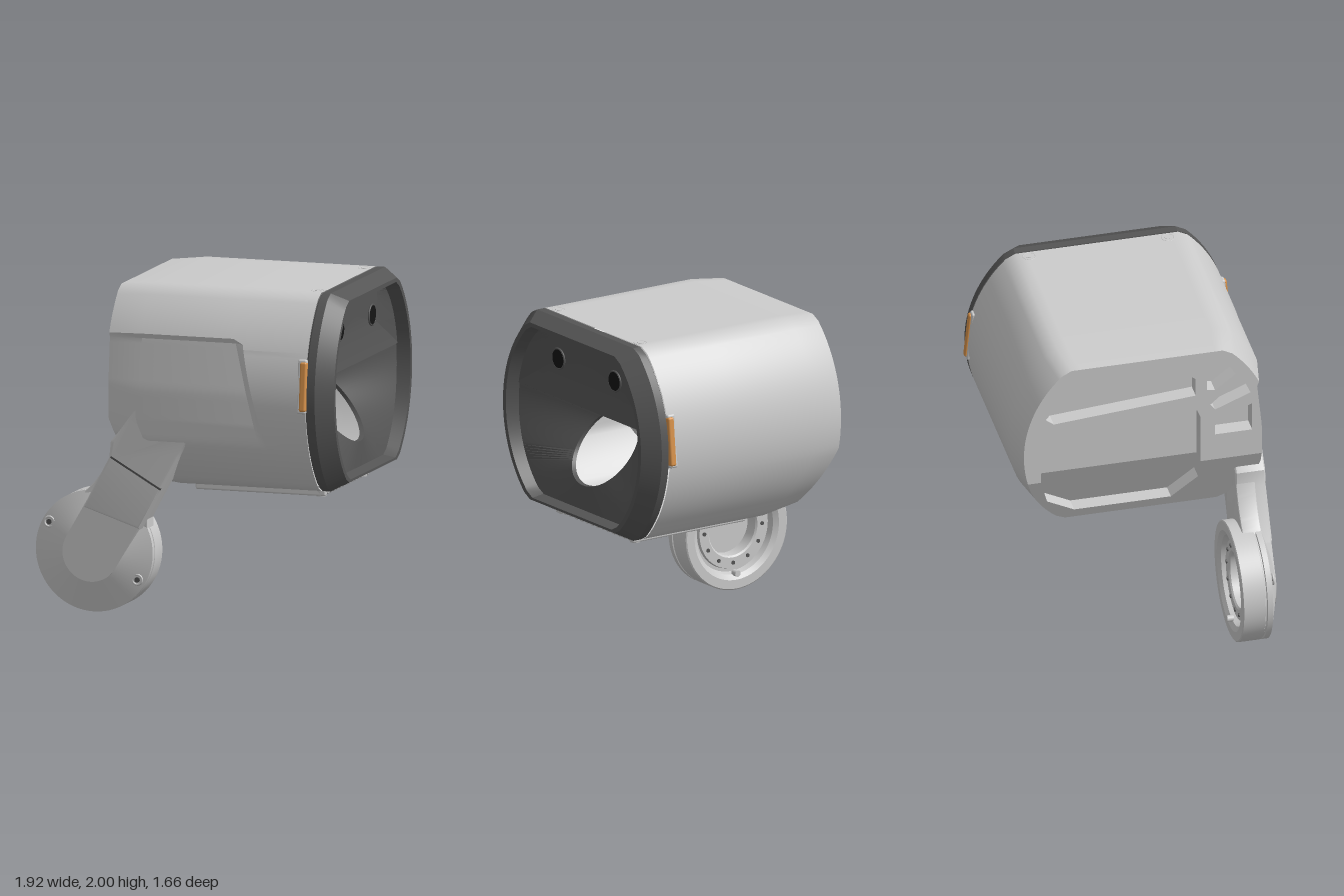
import * as THREE from 'three';
import { toCreasedNormals } from 'three/addons/utils/BufferGeometryUtils.js';
import { RoundedBoxGeometry } from 'three/addons/geometries/RoundedBoxGeometry.js';

const mat = (color) => new THREE.MeshStandardMaterial({ color, side: THREE.DoubleSide });
const grey = mat(0xcccccc), dark = mat(0x555555), black = mat(0x151515), orange = mat(0xd8924a);
const clamp = THREE.MathUtils.clamp;
const CY = 1.395, N = 40;

// Closed cross-section: a circle of radius R cut flat at lo and hi, as [u, y] with u = -z
function ring(R, lo, hi, cut = 0.03) {
  const a0 = Math.asin((lo + cut - CY) / R), a1 = Math.asin((hi - cut - CY) / R);
  const flat = (y) => Math.sqrt(R * R - (y - CY) ** 2) * (cut ? 0.95 : 1);
  const arc = Array.from({ length: N }, (_, i) => {
    const a = a0 + (a1 - a0) * i / (N - 1);
    return [R * Math.cos(a), CY + R * Math.sin(a)];
  });
  const f = [1, 0.88, 0.72, 0.54, 0.36, 0.18, 0, -0.18, -0.36, -0.54, -0.72, -0.88, -1];
  const up = flat(hi), dn = flat(lo);
  return [...arc, ...f.map((k) => [k * up, hi]),
    ...arc.slice().reverse().map(([u, y]) => [-u, y]), ...f.map((k) => [-k * dn, lo])];
}

// Skin through rings of equal length; each station is [points, x or x(u, y)]
function loft(stations, crease = 0.5) {
  const pos = [], idx = [], n = stations[0][0].length;
  stations.forEach(([pts, x], s) => pts.forEach(([u, y], j) => {
    pos.push(typeof x === 'function' ? x(u, y) : x, y, -u);
    if (s + 1 < stations.length) {
      const a = s * n + j, b = s * n + (j + 1) % n;
      idx.push(a, b, b + n, a, b + n, a + n);
    }
  }));
  const g = new THREE.BufferGeometry();
  g.setAttribute('position', new THREE.Float32BufferAttribute(pos, 3));
  g.setIndex(idx);
  return toCreasedNormals(g, crease);
}

const shapeOf = (pts) => new THREE.Shape(pts.map(([x, y]) => new THREE.Vector2(x, y)));
const extrude = (shape, depth, bevel = 0) => toCreasedNormals(new THREE.ExtrudeGeometry(shape, {
  depth, curveSegments: 24, bevelEnabled: bevel > 0, bevelSize: bevel, bevelThickness: bevel, bevelOffset: -bevel, bevelSegments: 3,
}), 0.5);

// The back face leans forward below y = 1.2
const bend = (y) => Math.max(0, 1.2 - y) * 0.43;

export function createModel() {
  const model = new THREE.Group();
  const add = (name, geo, material = grey, x = 0, y = 0, z = 0, parent = model) => {
    const m = new THREE.Mesh(geo, material);
    m.name = name;
    m.position.set(x, y, z);
    parent.add(m);
    return m;
  };

  // Housing shell, with a panel cut on the +z side that leans in towards its top ledge
  const panelLimit = (y, z) => (y < 1.715 ? z - 0.03 * clamp((y - 1.4) / 0.3, 0, 1) : 9);
  const flatSide = (pts, z) => pts.map(([u, y]) => [Math.max(u, -panelLimit(y, z)), y]);
  const body = ring(0.805, 0.79, 2), rear = flatSide(ring(0.765, 0.81, 1.98), 0.71);
  const slant = (y) => clamp((1.55 - y) * 0.25, -0.05, 0.12);
  add('housingShell', loft([
    [rear, (u, y) => -0.485 + bend(y)],
    [flatSide(body, 0.745), (u, y) => -0.27 + bend(y)],
    [flatSide(body, 0.745), (u, y) => 0.365 + slant(y)],
    [body, (u, y) => 0.42 + slant(y)],
    [body, 0.8],
  ]));

  // Back frame with pockets, and the pocket floor
  const upper = [[0.74, 1.2], ...rear.filter((p) => p[1] > 1.2), [-0.71, 1.2]];
  const lower = [[-0.71, 1.2], ...rear.slice(N).concat(rear.slice(0, N)).filter((p) => p[1] < 1.2), [0.74, 1.2]];
  const backPart = (name, shape, offset, depth) => {
    const g = new THREE.ExtrudeGeometry(shape, { depth, bevelEnabled: false }).rotateY(Math.PI / 2);
    const p = g.attributes.position;
    for (let i = 0; i < p.count; i++) p.setX(i, p.getX(i) + offset + bend(p.getY(i)));
    g.computeVertexNormals();
    add(name, toCreasedNormals(g, 0.4));
  };
  const topFrame = shapeOf([...upper, [-0.33, 1.2], [-0.33, 1.52], [-0.31, 1.57], [-0.26, 1.59], [0.58, 1.54], [0.64, 1.52], [0.66, 1.46], [0.66, 1.2]]);
  [
    [[-0.3, 1.68], [0.58, 1.61], [0.63, 1.65], [0.5, 1.8], [0.44, 1.83], [-0.26, 1.83], [-0.3, 1.8]],
    [[-0.37, 1.71], [-0.42, 1.7], [-0.55, 1.8], [-0.49, 1.88], [-0.44, 1.88], [-0.37, 1.8]],
    [[-0.39, 1.6], [-0.42, 1.56], [-0.64, 1.65], [-0.6, 1.74], [-0.56, 1.75]],
    [[-0.42, 1.38], [-0.65, 1.38], [-0.65, 1.57], [-0.42, 1.47]],
  ].forEach((h) => topFrame.holes.push(shapeOf(h)));
  backPart('backFrameUpper', topFrame, -0.485, 0.1);
  backPart('backFrameLower', shapeOf([...lower, [0.66, 1.2], [0.6, 1.0], [0.42, 0.88], [-0.18, 0.88], [-0.33, 1.05], [-0.33, 1.2]]), -0.485, 0.1);
  backPart('pocketFloorUpper', shapeOf(upper), -0.385, 0.01);
  backPart('pocketFloorLower', shapeOf(lower), -0.385, 0.01);

  // Dark bezel ring with chamfered rim and inner wall
  add('bezel', loft([
    [ring(0.79, 0.805, 1.985), 0.798], [ring(0.795, 0.8, 1.99), 0.808], [ring(0.805, 0.79, 2), 0.81], [ring(0.805, 0.79, 2), 0.86],
    [ring(0.725, 0.84, 1.95), 0.957], [ring(0.695, 0.855, 1.925), 0.957], [ring(0.67, 0.875, 1.905), 0.86],
  ], 0.4), dark);

  // Sensor panel above the shelf
  const camOuter = ring(0.69, 1.51, 1.92, 0);
  const camInner = camOuter.map(([u, y]) => [clamp(u, -0.4, 0.4), clamp(y, 1.68, 1.89)]);
  add('sensorPanel', loft([
    [camOuter, 0.885], [camInner, 0.845], [camInner.map(() => [0, 1.78]), 0.845],
  ], 0.3), dark);

  // Funnel narrowing to an oval opening that tilts upwards
  const funnel = ring(0.69, 0.86, 1.51, 0);
  const oval = funnel.map(([u, y]) => {
    const a = Math.atan2((y - 1.23) / 0.33, u / 0.65);
    return [0.26 * Math.cos(a), 1.23 + 0.21 * Math.sin(a)];
  });
  const tilt = (x) => (u, y) => x + (1.23 - y) * 0.8;
  add('funnel', loft([[funnel, 0.885], [oval, tilt(0.71)], [oval, tilt(0.68)]], 0.6), dark);

  for (const s of [-1, 1]) {
    // Lenses
    add('lens', new THREE.CylinderGeometry(0.058, 0.058, 0.02, 24).rotateZ(Math.PI / 2), black, 0.845, 1.74, s * 0.295);
    add('lensRing', new THREE.TorusGeometry(0.062, 0.006, 8, 32).rotateY(Math.PI / 2), dark, 0.85, 1.74, s * 0.295);
    // Orange side pads in a thin frame
    const pad = add('sidePad', new RoundedBoxGeometry(0.042, 0.3, 0.05, 3, 0.012), orange, 0.785, 1.47, s * 0.789);
    const frame = add('sidePadFrame', new RoundedBoxGeometry(0.056, 0.33, 0.04, 3, 0.012), grey, 0.775, 1.47, s * 0.781);
    pad.rotation.x = frame.rotation.x = -s * 0.1;
    // Top screws
    add('topScrew', new THREE.CylinderGeometry(0.02, 0.02, 0.006, 20), grey, 0.755, 1.999, s * 0.43);
    add('topScrewRing', new THREE.TorusGeometry(0.038, 0.004, 6, 28).rotateX(Math.PI / 2), grey, 0.755, 1.998, s * 0.43);
    // Heat sink corner bosses
    add('heatSinkBoss', new THREE.CylinderGeometry(0.04, 0.032, 0.055, 20), grey, 0.755, 0.765, s * 0.375);
    add('heatSinkRail', new RoundedBoxGeometry(0.83, 0.05, 0.03, 2, 0.012), grey, 0.38, 0.765, s * 0.395);
  }

  // Finned heat sink underneath
  add('heatSinkBase', new THREE.BoxGeometry(0.82, 0.04, 0.8), grey, 0.38, 0.78, 0);
  for (let i = 0; i < 13; i++) {
    add('heatSinkFin', new RoundedBoxGeometry(0.8, 0.035, 0.032, 2, 0.01), grey, 0.375, 0.753, (i - 6) * 0.056);
  }
  add('heatSinkStrip', new THREE.BoxGeometry(0.02, 0.032, 0.7), orange, 0.786, 0.778, 0);

  // Neck flaring from the side panel
  const neck = new THREE.Shape();
  neck.moveTo(-0.64, 0.65);
  neck.lineTo(-0.475, 0.96);
  neck.lineTo(-0.465, 1.06);
  neck.quadraticCurveTo(-0.3, 1.25, -0.27, 1.4);
  neck.lineTo(0.1, 1.35);
  neck.lineTo(0.3, 1.2);
  neck.quadraticCurveTo(0.08, 1.2, -0.04, 0.97);
  neck.lineTo(-0.14, 0.79);
  neck.lineTo(-0.28, 0.53);
  add('neck', extrude(neck, 0.15, 0.02), grey, 0, 0, 0.57);
  // Thin web between neck and joint
  const web = new THREE.Shape();
  web.moveTo(-0.75, 0.67);
  web.quadraticCurveTo(-0.56, 0.77, -0.475, 0.99);
  web.lineTo(-0.25, 0.85);
  web.lineTo(-0.25, 0.53);
  add('neckWeb', extrude(web, 0.1, 0.01), grey, 0, 0, 0.56);

  // Rotary joint
  const joint = new THREE.Group();
  joint.name = 'rotaryJoint';
  joint.position.set(-0.59, 0.375, 0);
  model.add(joint);
  const profile = [[0, 0.61], [0.17, 0.61], [0.17, 0.53], [0.18, 0.52], [0.245, 0.52], [0.25, 0.54], [0.27, 0.54], [0.28, 0.5],
    [0.31, 0.48], [0.365, 0.48], [0.372, 0.485], [0.372, 0.618], [0.364, 0.622], [0.364, 0.628], [0.372, 0.632],
    [0.372, 0.665], [0.18, 0.728], [0, 0.728]].map(([r, z]) => new THREE.Vector2(r, z));
  add('jointDisk', toCreasedNormals(new THREE.LatheGeometry(profile, 72).rotateX(Math.PI / 2), 0.3), grey, 0, 0, 0, joint);
  const arm = new THREE.Shape();
  arm.absarc(0, 0, 0.18, Math.PI, Math.PI * 2);
  arm.lineTo(0.18, 0.57);
  arm.lineTo(-0.18, 0.57);
  add('armPlate', extrude(arm, 0.09), grey, 0, 0, 0.642, joint).rotation.z = -Math.PI / 6;
  const seam = add('armSeam', new THREE.BoxGeometry(0.365, 0.012, 0.1), dark, 0.288, 0.5, 0.691, joint);
  seam.rotation.z = -Math.PI / 6;
  for (let i = 0; i < 12; i++) {
    const a = i * Math.PI / 6;
    add('jointBolt', new THREE.CylinderGeometry(0.012, 0.012, 0.012, 12).rotateX(Math.PI / 2), dark,
      0.212 * Math.cos(a), 0.212 * Math.sin(a), 0.519, joint);
  }
  for (const [x, y] of [[-0.28, 0.165], [0.28, -0.16]]) {
    add('jointScrew', new THREE.CylinderGeometry(0.016, 0.016, 0.02, 16).rotateX(Math.PI / 2), dark, x, y, 0.682, joint);
    add('jointScrewRing', new THREE.TorusGeometry(0.03, 0.007, 8, 28), grey, x, y, 0.683, joint);
  }
  add('locatingPin', new THREE.CylinderGeometry(0.02, 0.02, 0.04, 16).rotateX(Math.PI / 2), grey, 0, -0.27, 0.488, joint);
  return model;
}
